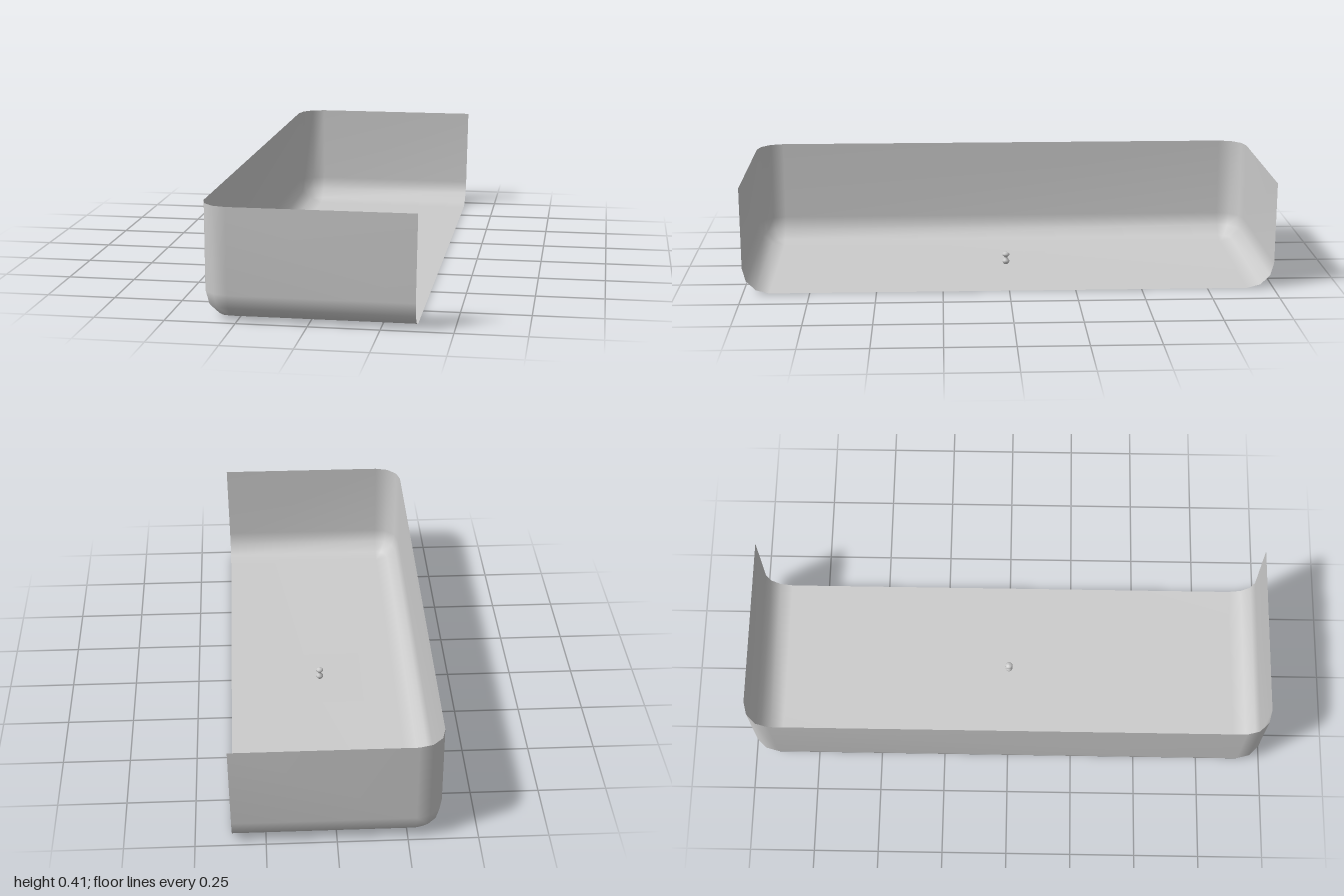
import * as THREE from 'three';
import { mergeVertices } from 'three/addons/utils/BufferGeometryUtils.js';

const R = 0.098, FLOOR = 0.002, TOP = 0.41, STEPS = 3;
const BACK_X = -0.376 + R, OPEN_X = 0.369, END_Z = 1 - R;

// Thin tray open at the top and along +x, with rounded wall and floor joints
function trayGeometry() {
  // Plan outline: centre of rounding and outward direction for each column
  const columns = [[OPEN_X, END_Z, Math.PI / 2]];
  for (let i = 0; i <= STEPS; i++) columns.push([BACK_X, END_Z, (Math.PI / 2) * (1 + i / STEPS)]);
  for (let i = 0; i <= STEPS; i++) columns.push([BACK_X, -END_Z, (Math.PI / 2) * (2 + i / STEPS)]);
  columns.push([OPEN_X, -END_Z, Math.PI * 1.5]);

  const rows = STEPS + 2, positions = [], index = [];
  columns.forEach(([cx, cz, a], c) => {
    const open = c === 0 || c === columns.length - 1;
    for (let r = 0; r < rows; r++) {
      const phi = r === 0 ? 0 : (Math.PI / 2) * (r - 1) / STEPS;
      const y = r === 0 ? TOP : FLOOR + R * (1 - Math.sin(phi));
      const out = R * Math.cos(phi);
      // The open edge leans out slightly towards the rim
      const lean = open ? 0.007 * y / TOP : 0;
      positions.push(cx + Math.cos(a) * out + lean, y, cz + Math.sin(a) * out);
    }
  });
  for (let c = 0; c < columns.length - 1; c++) {
    for (let r = 0; r < rows - 1; r++) {
      const a = c * rows + r, b = a + rows;
      index.push(a, a + 1, b, b, a + 1, b + 1);
    }
  }
  // Floor between the four ends of the profile
  const floor = [0, 1, 1 + STEPS + 1, columns.length - 1].map((c) => c * rows + rows - 1);
  index.push(floor[0], floor[3], floor[1], floor[1], floor[3], floor[2]);

  const raw = new THREE.BufferGeometry();
  raw.setAttribute('position', new THREE.Float32BufferAttribute(positions, 3));
  raw.setIndex(index);
  const geometry = mergeVertices(raw, 1e-5);
  geometry.computeVertexNormals();
  return geometry;
}

export function createModel() {
  const group = new THREE.Group();
  const material = new THREE.MeshStandardMaterial({ color: 0xcccccc, side: THREE.DoubleSide });
  const add = (name, geometry, x, y, z) => {
    const mesh = new THREE.Mesh(geometry, material);
    mesh.name = name;
    mesh.position.set(x, y, z);
    group.add(mesh);
    return mesh;
  };

  add('tray', trayGeometry(), 0, 0, 0);

  // Flat square mat lying on the floor
  add('floorMat', new THREE.PlaneGeometry(0.33, 0.33).rotateX(-Math.PI / 2), 0.015, FLOOR + 0.001, 0);

  // Small pawn-shaped piece standing on the mat
  const profile = [[0, 0], [0.009, 0.001], [0.014, 0.009], [0.014, 0.015], [0.008, 0.022],
    [0.006, 0.027], [0.008, 0.031], [0.014, 0.036], [0.014, 0.042], [0.009, 0.047], [0, 0.049]]
    .map(([r, y]) => new THREE.Vector2(r, y));
  add('smallPiece', new THREE.LatheGeometry(profile, 16), 0.016, FLOOR + 0.001, 0);

  return group;
}
